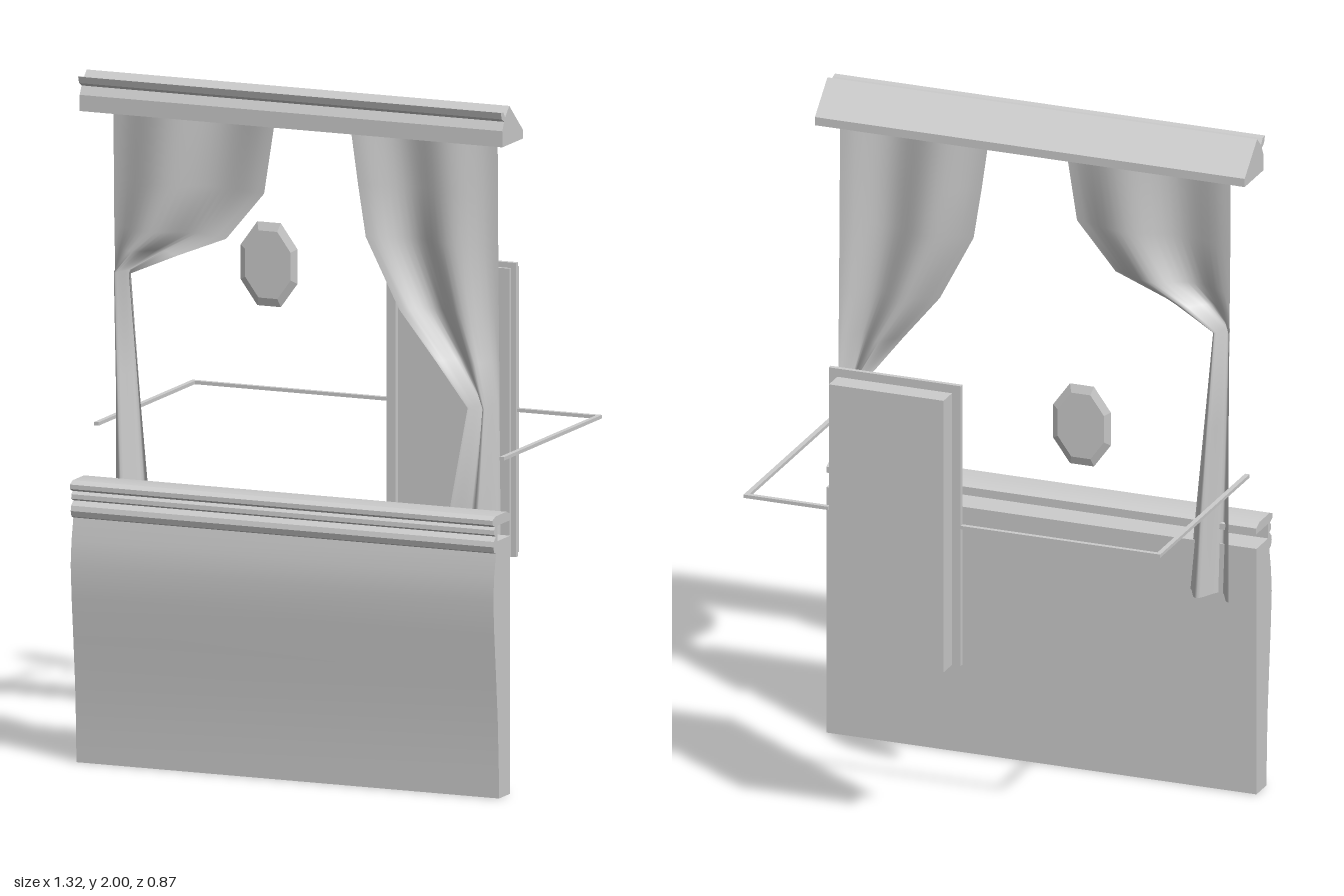
import * as THREE from 'three';
import { toCreasedNormals } from 'three/addons/utils/BufferGeometryUtils.js';

const plaster = new THREE.MeshStandardMaterial({ color: 0xcccccc, side: THREE.DoubleSide });
plaster.name = 'plaster grey';

function add(group, name, geometry) {
  const mesh = new THREE.Mesh(geometry, plaster);
  mesh.name = name;
  group.add(mesh);
  return mesh;
}

// Box given by its limits on each axis
function box(x0, x1, y0, y1, z0, z1) {
  return new THREE.BoxGeometry(x1 - x0, y1 - y0, z1 - z0)
    .translate((x0 + x1) / 2, (y0 + y1) / 2, (z0 + z1) / 2);
}

// Moulding: a closed [z, y] profile run along x
function moulding(profile, width) {
  const shape = new THREE.Shape(profile.map(([z, y]) => new THREE.Vector2(z, y)));
  const geometry = new THREE.ExtrudeGeometry(shape, { depth: width, bevelEnabled: false });
  geometry.rotateY(-Math.PI / 2).translate(width / 2, 0, 0);
  return toCreasedNormals(geometry, 0.4);
}

// Gathered curtain: rows of [y, inner edge x, half depth] hung from a straight outer edge
function curtain(rows, outer) {
  const cols = 20;
  const geometry = new THREE.PlaneGeometry(1, 1, cols, rows.length - 1);
  const pos = geometry.attributes.position;
  rows.forEach(([y, inner, depth], r) => {
    for (let c = 0; c <= cols; c++) {
      const t = c / cols;
      const x = outer + (inner - outer) * t;
      const z = 0.282 - depth * Math.cos(t * Math.PI * 3);
      pos.setXYZ(r * (cols + 1) + c, x, y, z);
    }
  });
  geometry.computeVertexNormals();
  return geometry;
}

// Door trim: up one side, across the top and down the other
function doorTrim(x0, x1, top, bottom, width, z0, z1) {
  const shape = new THREE.Shape([
    [x0, bottom], [x0 + width, bottom], [x0 + width, top - width], [x1 - width, top - width],
    [x1 - width, bottom], [x1, bottom], [x1, top], [x0, top],
  ].map(([x, y]) => new THREE.Vector2(x, y)));
  return new THREE.ExtrudeGeometry(shape, { depth: z1 - z0, bevelEnabled: false }).translate(0, 0, z0);
}

export function createModel() {
  const model = new THREE.Group();
  model.name = 'curtainedBooth';

  // Bowed front panel with a moulded ledge, hollow behind the moulding
  add(model, 'frontPanel', moulding([
    [0.312, 0], [0.39, 0], [0.392, 0.1], [0.399, 0.23], [0.411, 0.36], [0.423, 0.48], [0.43, 0.58],
    [0.424, 0.65], [0.411, 0.715], [0.424, 0.72], [0.43, 0.737], [0.426, 0.752], [0.411, 0.765],
    [0.426, 0.772], [0.425, 0.785], [0.416, 0.793], [0.436, 0.802], [0.436, 0.815], [0.415, 0.824],
    [0.337, 0.824], [0.31, 0.813], [0.31, 0.795], [0.402, 0.795], [0.402, 0.75], [0.312, 0.75],
  ], 1.32));

  // Top pelmet with a sloping back
  add(model, 'pelmet', moulding([
    [0.222, 1.888], [0.367, 1.888], [0.367, 1.935], [0.354, 1.96], [0.371, 1.97], [0.378, 1.99],
    [0.36, 1.988], [0.347, 1.972], [0.318, 2.0], [0.222, 1.913],
  ], 1.32));

  // Tied-back curtains, one gathered higher than the other
  add(model, 'rightCurtain', curtain([
    [1.885, -0.082, 0.017], [1.68, -0.113, 0.02], [1.54, -0.23, 0.023], [1.48, -0.38, 0.026],
    [1.415, -0.53, 0.028], [1.12, -0.5, 0.033], [0.82, -0.47, 0.036], [0.6, -0.45, 0.034],
  ], -0.6));
  add(model, 'leftCurtain', curtain([
    [1.885, 0.157, 0.017], [1.73, 0.18, 0.019], [1.58, 0.205, 0.021], [1.38, 0.31, 0.025],
    [1.24, 0.425, 0.028], [1.11, 0.527, 0.03], [0.82, 0.475, 0.036], [0.6, 0.445, 0.034],
  ], 0.6));

  // Thin dado rail around the sides and back, broken by the door
  const rail = new THREE.Group();
  rail.name = 'wallRail';
  model.add(rail);
  add(rail, 'rightRail', box(-0.64, -0.626, 0.966, 0.976, -0.376, 0.31));
  add(rail, 'leftRail', box(0.626, 0.64, 0.966, 0.976, -0.376, 0.31));
  add(rail, 'backRailRight', box(-0.626, -0.027, 0.966, 0.976, -0.376, -0.362));
  add(rail, 'backRailLeft', box(0.38, 0.626, 0.966, 0.976, -0.376, -0.362));

  // Door in the back wall with a stepped trim
  const door = new THREE.Group();
  door.name = 'door';
  model.add(door);
  add(door, 'doorSlab', box(0.002, 0.354, 0.545, 1.375, -0.435, -0.364));
  add(door, 'outerTrim', doorTrim(-0.025, 0.38, 1.4, 0.545, 0.02, -0.37, -0.356));
  add(door, 'innerTrim', doorTrim(-0.009, 0.364, 1.384, 0.545, 0.016, -0.37, -0.346));

  // Oval eight-sided wall mirror, bevelled front and back
  const oval = new THREE.LatheGeometry(
    [[0, -0.009], [0.8, -0.009], [1, 0], [0.8, 0.009], [0, 0.009]]
      .map(([r, h]) => new THREE.Vector2(r, h)), 8, Math.PI / 8);
  oval.rotateX(Math.PI / 2).scale(0.096, 0.132, 1).translate(-0.395, 1.333, -0.364);
  add(model, 'wallMirror', toCreasedNormals(oval, 0.05));

  return model;
}
